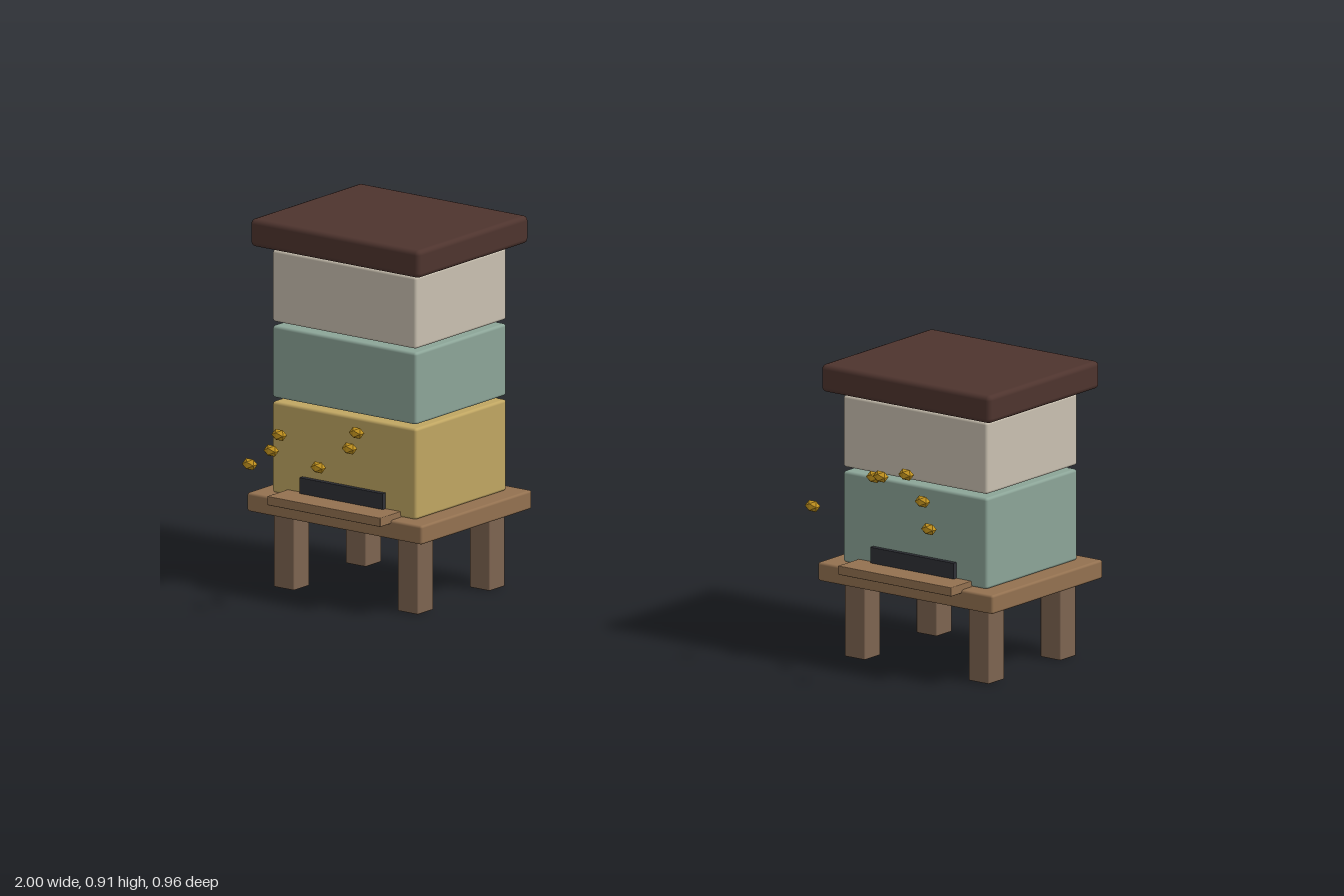
import * as THREE from 'three';
import { RoundedBoxGeometry } from 'three/addons/geometries/RoundedBoxGeometry.js';

const mat = (name, color, flatShading = false) => {
  const m = new THREE.MeshStandardMaterial({ color, flatShading });
  m.name = name;
  return m;
};

export function createModel() {
  const cream = mat('cream paint', 0xc9c0b0);
  const sage = mat('sage paint', 0x8ca598);
  const honey = mat('honey paint', 0xc0a662);
  const roof = mat('dark brown roof', 0x4e342e);
  const plank = mat('plank wood', 0x937150);
  const legWood = mat('leg wood', 0x7d6450);
  const dark = mat('dark opening', 0x2f3036);
  const gold = mat('bee gold', 0xc4941f, true);

  const model = new THREE.Group();
  model.name = 'beehives';

  // Rounded block spanning y0 to y1, centred on x and z
  const block = (parent, name, material, w, d, y0, y1, x, z, r) => {
    const mesh = new THREE.Mesh(new RoundedBoxGeometry(w, y1 - y0, d, 2, r), material);
    mesh.name = name;
    mesh.position.set(x, (y0 + y1) / 2, z);
    parent.add(mesh);
    return mesh;
  };

  const makeHive = (name, x, z, paints) => {
    const hive = new THREE.Group();
    hive.name = name;
    hive.position.set(x, 0, z);

    // Stand: four legs and a platform
    for (const sx of [-1, 1]) for (const sz of [-1, 1])
      block(hive, 'leg', legWood, 0.061, 0.061, 0, 0.19, sx * 0.186, sz * 0.14, 0.003);
    block(hive, 'platform', plank, 0.525, 0.432, 0.188, 0.234, 0, 0, 0.006);

    // Stacked boxes: a deep brood box, then shallower ones
    let y = 0.234;
    paints.forEach((paint, i) => {
      const h = i === 0 ? 0.224 : 0.177;
      block(hive, i === 0 ? 'broodBox' : 'honeyBox', paint, 0.432, 0.355, y, y + h, 0, 0, 0.007);
      y += h + 0.0095;
    });

    // Overhanging lid and the recessed neck under it
    block(hive, 'lid', roof, 0.508, 0.432, y, y + 0.068, 0, 0, 0.012);

    // Entrance slot and landing board
    block(hive, 'entrance', dark, 0.25, 0.022, 0.238, 0.287, 0, 0.178, 0.001);
    block(hive, 'landingBoard', plank, 0.34, 0.085, 0.226, 0.248, 0, 0.2145, 0.002);
    model.add(hive);
  };

  makeHive('tallHive', -0.7375, 0.045, [honey, sage, cream]);
  makeHive('shortHive', 0.7375, -0.265, [sage, cream]);

  // Bees hovering in front of the entrances
  const beeGeometry = new THREE.IcosahedronGeometry(0.0155, 0).scale(1.3, 1, 1);
  const bees = [
    [-0.83, 0.422, 0.355], [-0.823, 0.393, 0.395], [-0.83, 0.374, 0.47],
    [-0.624, 0.453, 0.321], [-0.613, 0.425, 0.363], [-0.659, 0.384, 0.425],
    [0.557, 0.411, 0.077], [0.658, 0.476, -0.031], [0.685, 0.483, -0.023],
    [0.738, 0.49, -0.053], [0.837, 0.453, 0.012], [0.914, 0.413, 0.087],
  ];
  for (const p of bees) {
    const bee = new THREE.Mesh(beeGeometry, gold);
    bee.name = 'bee';
    bee.position.set(...p);
    model.add(bee);
  }
  return model;
}
